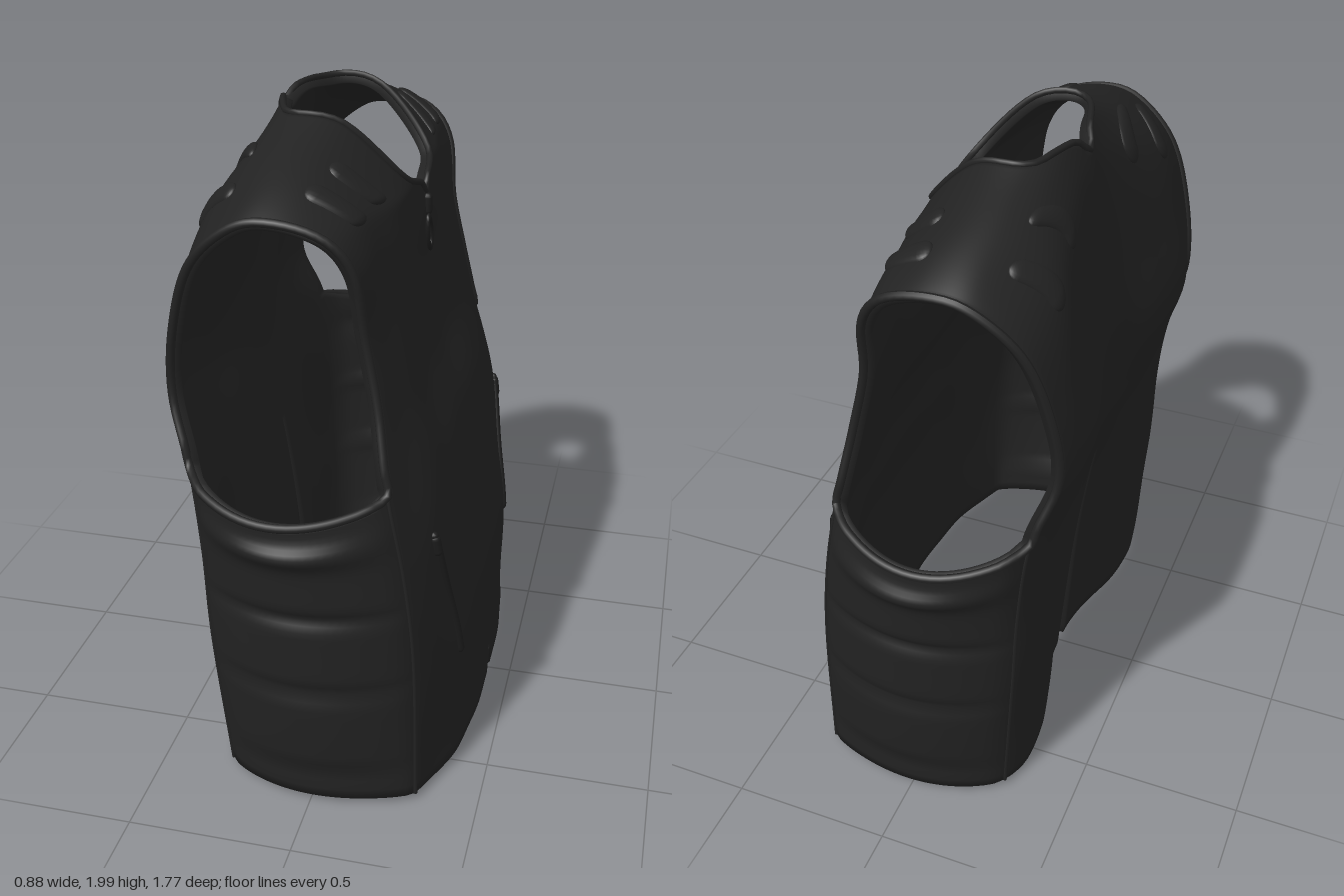
import * as THREE from 'three';
import { mergeGeometries, mergeVertices } from 'three/addons/utils/BufferGeometryUtils.js';

const V = (x, y, z) => new THREE.Vector3(x, y, z);
const spline = (pts, closed = false) => new THREE.CatmullRomCurve3(pts, closed, 'catmullrom', 0.5);
const gauss = (x, w) => Math.exp(-x * x / (w * w));

// Half panel running from the front hem over the shoulder to the back hem:
// centre and neck edge
const innerCurve = spline([
  V(.425, .01, 0), V(.41, .5, 0), V(.365, .8, 0), V(.32, 1.05, 0), V(.235, 1.25, 0), V(.19, 1.45, 0),
  V(.17, 1.71, 0), V(.14, 1.8, .17), V(-.02, 1.965, .24), V(-.18, 1.985, .235), V(-.27, 1.94, 0),
  V(-.35, 1.5, 0), V(-.37, 1.25, 0), V(-.355, 1.05, 0), V(-.31, .8, 0), V(-.27, .5, 0), V(-.23, .02, 0),
]);
// side seam and armhole edge
const outerCurve = spline([
  V(.31, .03, .70), V(.30, .5, .71), V(.27, .8, .72), V(.22, 1.07, .72), V(.18, 1.3, .665), V(.14, 1.5, .65),
  V(.12, 1.68, .68), V(.05, 1.78, .70), V(-.08, 1.82, .71), V(-.2, 1.8, .705), V(-.33, 1.68, .68),
  V(-.40, 1.48, .65), V(-.42, 1.27, .635), V(-.36, 1.07, .69), V(-.33, .8, .70), V(-.315, .5, .70), V(-.28, .03, .67),
]);
const SPANS = 16, SEG = 14, M = SPANS * SEG, ARM = 3 * SEG;

// Centre edge, with a notch at the front hem and a tapering vent in the back
function innerEdge(t) {
  const p = innerCurve.getPoint(t);
  const gap = p.x > 0 ? 0.03 * (1 - p.y / 0.1) : 0.03 * (1 - p.y / 0.9);
  p.z = Math.max(p.z, gap);
  if (p.z < 0.0005) p.z = 0;
  return p;
}

// Point on the front, shoulder and back panel: level at the centre, rounded towards the side
function panel(t, s) {
  t = THREE.MathUtils.clamp(t, 0, 1);
  const a = innerEdge(t), b = outerCurve.getPoint(t);
  const p = a.clone().lerp(b, s);
  const flat = 1 - THREE.MathUtils.smoothstep(a.z, 0.03, 0.2);
  p.x += (b.x - a.x) * (s * s * (3 - 2 * s) - s) * flat;
  const k = 6.75 * s * s * (1 - s);
  p.x += k * 0.052 * Math.cos(Math.PI * t);
  p.y += k * 0.014 * Math.sin(Math.PI * t) ** 8;
  p.x += 0.007 * k * Math.sin(p.y * 9 + p.z * 11) * Math.sin(p.z * 8 - p.y * 3);
  return p;
}

// Padded side panel below the armhole
const widths = spline([.775, .81, .83, .84, .85, .86].map(w => V(w, 0, 0)));
function side(i, s) {
  const p = outerCurve.getPoint(i / M).lerp(outerCurve.getPoint(1 - i / M), s);
  const k = s > 0 && s < 1 ? Math.sin(Math.PI * s) ** 0.68 : 0;
  let w = widths.getPoint(THREE.MathUtils.clamp(p.y / 1.07, 0, 1)).x + 0.03 * gauss(p.y - 0.95, 0.05);
  for (const y of [.12, .44, .7]) w -= 0.02 * gauss(p.y - y, 0.022);
  p.z += (w - p.z) * k;
  p.y -= 0.06 * k * gauss(p.y - 1.07, 0.15);
  return p;
}

function grid(rows, cols, fn) {
  const pos = [], idx = [];
  for (let i = 0; i <= rows; i++) for (let j = 0; j <= cols; j++) pos.push(...fn(i, j / cols).toArray());
  for (let i = 0; i < rows; i++) for (let j = 0; j < cols; j++) {
    const a = i * (cols + 1) + j, b = a + cols + 1;
    idx.push(a, b, a + 1, b, b + 1, a + 1);
  }
  const g = new THREE.BufferGeometry();
  g.setAttribute('position', new THREE.Float32BufferAttribute(pos, 3));
  g.setIndex(idx);
  return g;
}

// Mirrored copy across z, with its corners put back in order
function mirror(geo) {
  const g = geo.clone(), p = g.attributes.position, ix = g.index.array;
  for (let i = 0; i < p.count; i++) p.setZ(i, -p.getZ(i));
  for (let i = 0; i < ix.length; i += 3) [ix[i], ix[i + 1]] = [ix[i + 1], ix[i]];
  if (g.attributes.normal) g.computeVertexNormals();
  return g;
}

// Turns an open surface into cloth with a lining and closed edges
function thicken(surface, depth) {
  surface.computeVertexNormals();
  const p = surface.attributes.position, n = surface.attributes.normal, ix = surface.index.array;
  const count = p.count, pos = Array.from(p.array), idx = Array.from(ix), edges = new Set();
  for (let i = 0; i < count * 3; i++) pos.push(p.array[i] - n.array[i] * depth);
  for (let i = 0; i < ix.length; i += 3) {
    idx.push(ix[i] + count, ix[i + 2] + count, ix[i + 1] + count);
    for (let e = 0; e < 3; e++) edges.add(ix[i + e] * count + ix[i + (e + 1) % 3]);
  }
  for (const key of edges) {
    const a = Math.floor(key / count), b = key % count;
    if (!edges.has(b * count + a)) idx.push(b, a, a + count, b, a + count, b + count);
  }
  const g = new THREE.BufferGeometry();
  g.setAttribute('position', new THREE.Float32BufferAttribute(pos, 3));
  g.setIndex(idx);
  g.computeVertexNormals();
  return g;
}

// Wraps a flat geometry onto the panel around (station, s0)
function conform(geo, station, s0) {
  const t0 = station / SPANS, e = 0.004;
  const lt = panel(t0 + e, s0).distanceTo(panel(t0 - e, s0)) / (2 * e);
  const ls = panel(t0, s0 + e).distanceTo(panel(t0, s0 - e)) / (2 * e);
  const p = geo.attributes.position;
  for (let i = 0; i < p.count; i++) {
    const t = t0 + p.getY(i) / lt, s = s0 - p.getX(i) / ls;
    const dt = panel(t + e, s).sub(panel(t - e, s)), ds = panel(t, s + e).sub(panel(t, s - e));
    const q = panel(t, s).addScaledVector(dt.cross(ds).normalize(), p.getZ(i));
    p.setXYZ(i, q.x, q.y, q.z);
  }
  geo.computeVertexNormals();
  return geo;
}

export function createModel() {
  const group = new THREE.Group();
  const cloth = new THREE.MeshStandardMaterial({ color: 0x222222 });
  const trim = new THREE.MeshStandardMaterial({ color: 0x1c1c1c });
  cloth.name = 'black cloth';
  trim.name = 'dark trim';
  const add = (name, geo, mat) => {
    const m = new THREE.Mesh(geo, mat);
    m.name = name;
    group.add(m);
    return m;
  };
  const pair = (name, geo, mat) => {
    add(name + 'Left', geo, mat);
    add(name + 'Right', mirror(geo), mat);
  };
  const tube = (pts, r, closed) => new THREE.TubeGeometry(spline(pts, closed), pts.length * 2, r, 8, closed);

  // Vest body
  const half = mergeGeometries([grid(M, 24, (i, s) => panel(i / M, s)), grid(ARM, 24, side)]);
  const body = mergeVertices(mergeGeometries([half, mirror(half)]), 1e-4);
  add('vestBody', thicken(body, 0.03), cloth);

  // Armhole piping
  const arm = [];
  for (let i = ARM; i <= M - ARM; i += 4) arm.push(outerCurve.getPoint(i / M));
  for (let j = 11; j > 0; j--) arm.push(side(ARM, j / 12));
  pair('armholePiping', tube(arm, 0.013, true), cloth);

  // Neck piping
  const neck = [];
  for (let i = 6 * SEG; i <= 10 * SEG; i += 4) neck.push(innerEdge(i / M));
  const neckBack = neck.slice(1, -1).reverse().map(p => V(p.x, p.y, -p.z));
  add('neckPiping', tube([...neck, ...neckBack], 0.01, true), cloth);

  // Shoulder tabs, front and back
  for (const [station, name] of [[7.3, 'frontShoulderTab'], [9.75, 'backShoulderTab']])
    for (const s of [.4, .7]) {
      const tab = new THREE.CapsuleGeometry(0.04, 0.12, 6, 14, 6).scale(1, 1, 0.32);
      pair(name, conform(tab, station, s), cloth);
    }

  // Slanted pocket zips with pulls
  const zip = new THREE.CapsuleGeometry(0.013, 0.42, 4, 10, 24).rotateZ(0.24);
  pair('pocketZip', conform(zip, 1.5, 0.7), trim);
  const pull = new THREE.CapsuleGeometry(0.017, 0.04, 4, 10).rotateZ(0.1);
  pair('pocketZipPull', conform(pull, 2.1, 0.765), trim);

  // Side seams
  for (const [name, at] of [['frontSideSeam', t => t], ['backSideSeam', t => 1 - t]]) {
    const seam = [];
    for (let i = 0; i <= ARM; i += 3) seam.push(outerCurve.getPoint(at(i / M)));
    pair(name, tube(seam, 0.006, false), cloth);
  }

  // Centre zip sliders at the neck and hem, with a ring pull
  add('neckZipSlider', new THREE.CapsuleGeometry(0.014, 0.04, 4, 10), trim).position.set(.178, 1.67, 0);
  const ring = add('neckZipPull', new THREE.TorusGeometry(0.03, 0.007, 8, 20).scale(.8, 1.9, 1), trim);
  ring.rotation.set(0.4, Math.PI / 2, 0);
  ring.position.set(.19, 1.59, .025);
  add('hemZipSlider', new THREE.CapsuleGeometry(0.014, 0.05, 4, 10), trim).position.set(.415, .065, 0);
  return group;
}
